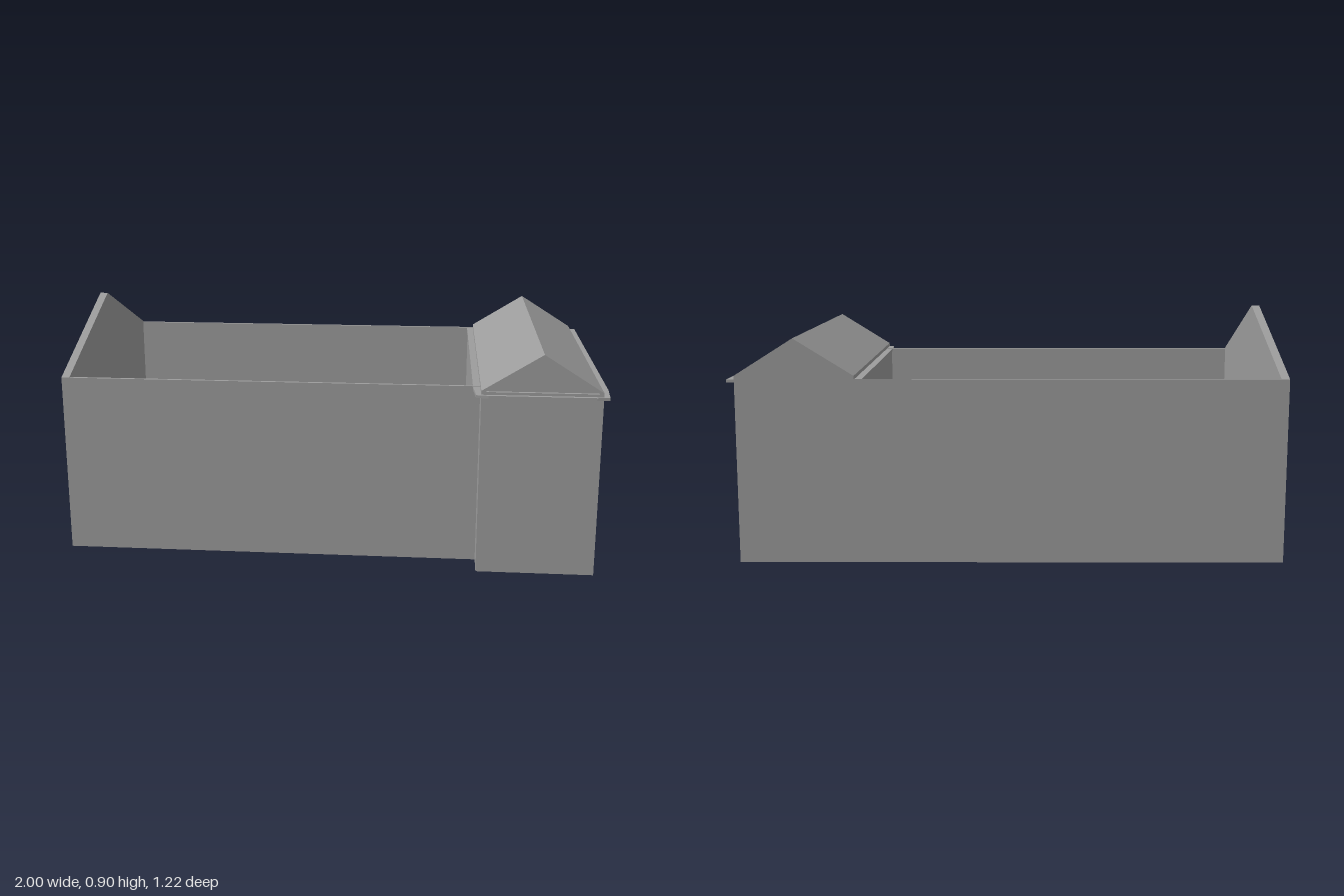
import * as THREE from 'three';

const material = new THREE.MeshStandardMaterial({ color: 0x9c9c9c, flatShading: true });

const BACK = -0.608, HALL_FRONT = 0.484, WING_FRONT = 0.594;
const WALL_H = 0.67, WING_L = 0.545, WING_R = 0.97, RIDGE_X = 0.759;

function add(parent, name, geometry) {
  const mesh = new THREE.Mesh(geometry, material);
  mesh.name = name;
  parent.add(mesh);
  return mesh;
}

// Box given by its two extreme corners
function box(parent, name, [x0, y0, z0], [x1, y1, z1]) {
  const mesh = add(parent, name, new THREE.BoxGeometry(x1 - x0, y1 - y0, z1 - z0));
  mesh.position.set((x0 + x1) / 2, (y0 + y1) / 2, (z0 + z1) / 2);
}

// Outline extruded along +z, with optional hole
function extrude(points, depth, hole) {
  const toVectors = (list) => list.map(([x, y]) => new THREE.Vector2(x, y));
  const shape = new THREE.Shape(toVectors(points));
  if (hole) shape.holes.push(new THREE.Path(toVectors(hole)));
  return new THREE.ExtrudeGeometry(shape, { depth, bevelEnabled: false });
}

export function createModel() {
  const model = new THREE.Group();
  model.name = 'building';

  // Open-topped hall
  const hall = new THREE.Group();
  hall.name = 'hall';
  model.add(hall);
  box(hall, 'floor', [-0.97, 0, BACK + 0.012], [0.522, 0.01, HALL_FRONT - 0.012]);
  box(hall, 'frontWall', [-0.97, 0, HALL_FRONT - 0.012], [WING_L, WALL_H, HALL_FRONT]);
  box(hall, 'backWall', [-0.97, 0, BACK], [WING_L, WALL_H, BACK + 0.012]);
  box(hall, 'innerWall', [0.522, 0, BACK + 0.012], [WING_L, 0.66, HALL_FRONT - 0.012]);

  // Gabled end wall, drawn in the z-y plane and turned to face -x
  const gable = extrude([
    [BACK, 0], [HALL_FRONT, 0], [HALL_FRONT, WALL_H], [-0.06, 0.896], [BACK, WALL_H],
  ], 0.03);
  gable.rotateY(-Math.PI / 2);
  add(hall, 'gableWall', gable).position.x = -0.97;

  // Cross wing
  const wing = new THREE.Group();
  wing.name = 'wing';
  model.add(wing);
  box(wing, 'wingBody', [WING_L, 0, BACK], [WING_R, WALL_H, WING_FRONT]);

  // Cornice slab, tapered at the front corners, flush at the back
  const cornice = extrude([
    [0.519, -BACK], [0.519, -0.49], [0.527, -0.602], [0.57, -0.608],
    [0.944, -0.608], [0.99, -0.602], [0.998, -0.49], [0.998, -BACK],
  ], 0.01);
  cornice.rotateX(-Math.PI / 2);
  add(wing, 'cornice', cornice).position.y = 0.658;

  // Pitched roof with a shallow recessed pediment at the front
  const roofOutline = [
    [WING_L, 0.668], [WING_R, 0.668], [WING_R, 0.682], [RIDGE_X, 0.815], [WING_L, 0.682],
  ];
  const recess = [[WING_L + 0.014, 0.678], [RIDGE_X, 0.803], [WING_R - 0.014, 0.678]];
  const frameDepth = 0.012;
  add(wing, 'roof', extrude(roofOutline, WING_FRONT - frameDepth - BACK)).position.z = BACK;
  add(wing, 'pedimentFrame', extrude(roofOutline, frameDepth, recess)).position.z = WING_FRONT - frameDepth;

  return model;
}
